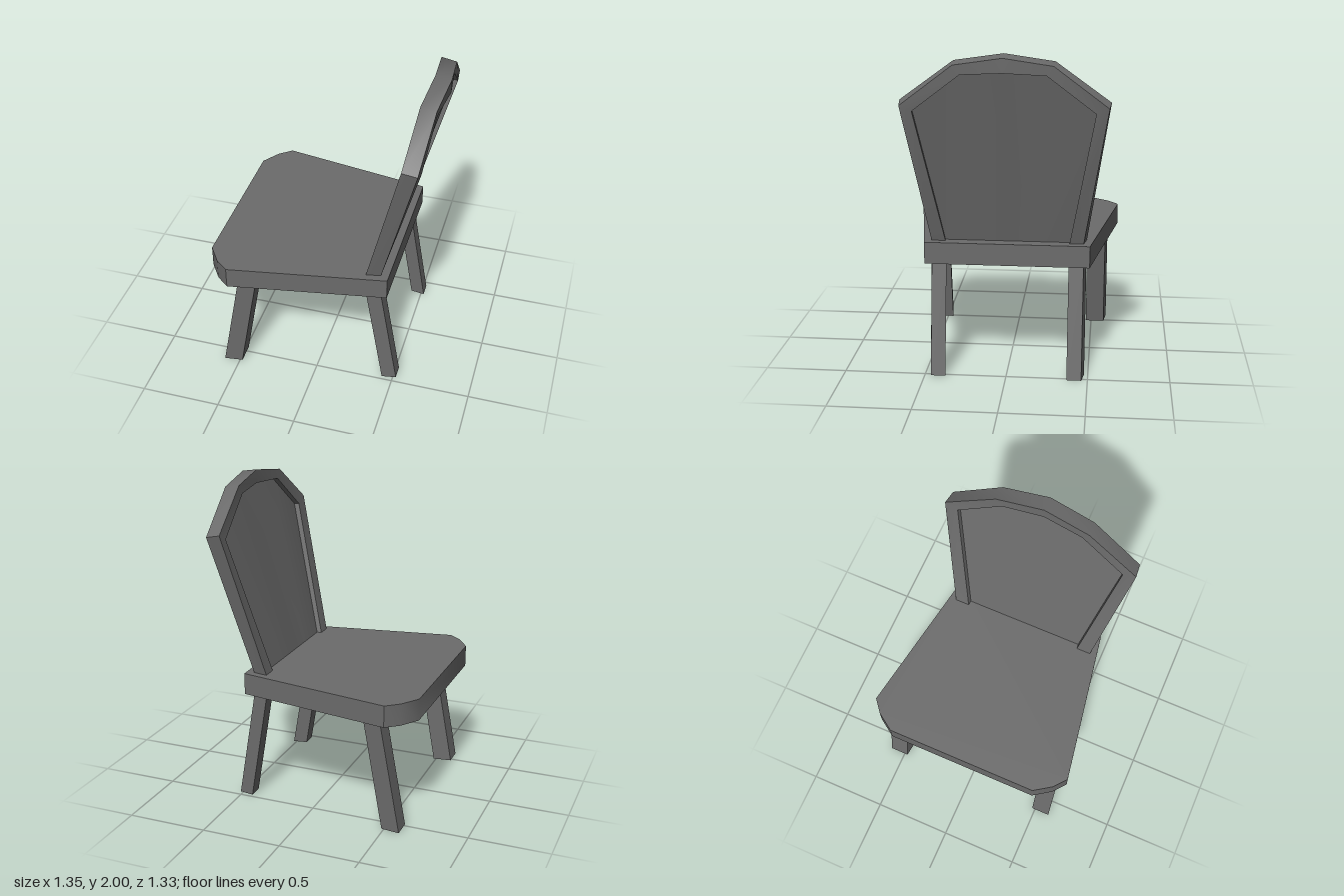
import * as THREE from 'three';
import { toCreasedNormals } from 'three/addons/utils/BufferGeometryUtils.js';

const material = new THREE.MeshStandardMaterial({ color: 0x6b6b6b });

// Smooth shading across gentle bends, sharp edges above the crease angle
function creasedMesh(name, geometry, degrees) {
  const mesh = new THREE.Mesh(toCreasedNormals(geometry, THREE.MathUtils.degToRad(degrees)), material);
  mesh.name = name;
  return mesh;
}

function meshFrom(name, points, index) {
  const geometry = new THREE.BufferGeometry();
  geometry.setAttribute('position', new THREE.Float32BufferAttribute(points.flat(), 3));
  geometry.setIndex(index);
  return creasedMesh(name, geometry, 60);
}

// Skin four-cornered sections (counterclockwise about the direction of travel) and cap both ends
function loft(name, sections) {
  const index = [];
  for (let s = 0; s + 1 < sections.length; s++) {
    for (let i = 0; i < 4; i++) {
      const a = s * 4 + i, b = s * 4 + (i + 1) % 4;
      index.push(a, b, b + 4, a, b + 4, a + 4);
    }
  }
  const e = (sections.length - 1) * 4;
  index.push(0, 2, 1, 0, 3, 2, e, e + 1, e + 2, e, e + 2, e + 3);
  return meshFrom(name, sections.flat(), index);
}

const flip = ([x, y, z]) => [x, y, -z];

// Leg pair: x ranges at floor and seat, outer z at its front edge, depth in z, shear toward the back
function addLegs(group, name, floorX, seatX, outerZ, width, shear) {
  const section = ([x0, x1], y) => [
    [x0, y, outerZ], [x1, y, outerZ - shear],
    [x1, y, outerZ - width - shear], [x0, y, outerZ - width]
  ];
  const sections = [section(floorX, 0), section(seatX, 0.71)];
  group.add(loft(name + 'Left', sections));
  group.add(loft(name + 'Right', sections.map(s => s.map(flip).reverse())));
}

export function createModel() {
  const group = new THREE.Group();
  group.name = 'chair';

  // Seat: tapered slab with softened corners on its wide edge
  const half = [[0.45, 0.5], [-0.52, 0.665], [-0.6, 0.6], [-0.675, 0.49]];
  const outline = [...half, ...half.map(([x, z]) => [x, -z]).reverse()];
  const shape = new THREE.Shape(outline.map(([x, z]) => new THREE.Vector2(x, -z)));
  const slab = new THREE.ExtrudeGeometry(shape, { depth: 0.135, bevelEnabled: false });
  slab.rotateX(-Math.PI / 2).translate(0, 0.7, 0);
  group.add(creasedMesh('seat', slab, 40));

  // Splayed legs
  addLegs(group, 'frontLeg', [-0.6, -0.485], [-0.47, -0.36], 0.6, 0.12, 0.015);
  addLegs(group, 'backLeg', [0.43, 0.52], [0.31, 0.4], 0.477, 0.09, 0.015);

  // Backrest frame sections: outer front, outer back, inner back, inner front
  const side = [
    [[0.31, 0.83, 0.477], [0.4, 0.83, 0.46], [0.4, 0.83, 0.375], [0.31, 0.83, 0.386]],
    [[0.53, 1.72, 0.61], [0.622, 1.7, 0.6], [0.627, 1.67, 0.525], [0.53, 1.68, 0.53]],
    [[0.555, 1.955, 0.29], [0.65, 1.94, 0.285], [0.646, 1.885, 0.245], [0.553, 1.9, 0.25]]
  ];
  const crown = [[0.578, 2, 0], [0.675, 1.985, 0], [0.675, 1.9, 0], [0.58, 1.915, 0]];
  const mirrored = side.map(s => s.map(flip)).reverse();
  const sections = [...side, crown, ...mirrored];
  group.add(loft('backrestFrame', sections));

  // Backrest panel: two gently curved skins set in from the front and back of the frame
  const skin = t => {
    const ring = sections.map(s => s[3].map((v, k) => v + (s[2][k] - v) * t));
    const [foot, ...rest] = ring;
    const upper = rest.slice(0, -1);
    const lower = upper.map(p => [foot[0], foot[1], foot[2] * p[2] / upper[0][2]]);
    return [...lower, ...upper];
  };
  const index = [];
  for (let i = 0; i < 4; i++) {
    index.push(i, i + 5, i + 6, i, i + 6, i + 1);
    index.push(i + 10, i + 16, i + 15, i + 10, i + 11, i + 16);
  }
  group.add(meshFrom('backrestPanel', [...skin(0.33), ...skin(0.72)], index));

  return group;
}
